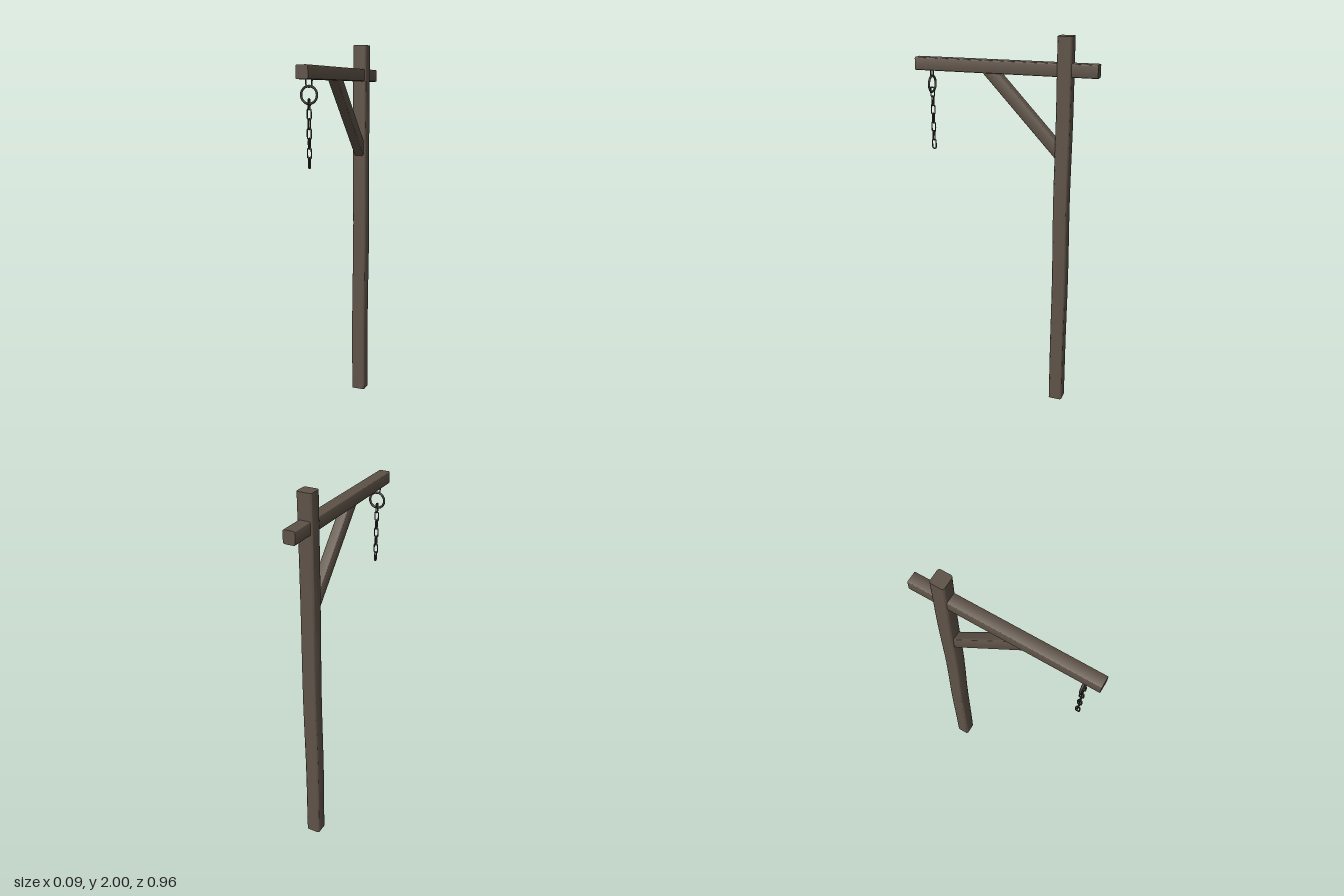
import * as THREE from 'three';
import { toCreasedNormals } from 'three/addons/utils/BufferGeometryUtils.js';

const wood = new THREE.MeshStandardMaterial({ name: 'weathered wood', color: 0x5f5348 });
const iron = new THREE.MeshStandardMaterial({ name: 'dark iron', color: 0x3b3836 });

// Rounded timber, running along +z from the origin
function timberGeometry(width, height, length, radius, steps = 1) {
  const x = width / 2, y = height / 2, r = radius;
  const s = new THREE.Shape();
  s.moveTo(-x + r, -y);
  s.lineTo(x - r, -y);
  s.absarc(x - r, -y + r, r, -Math.PI / 2, 0);
  s.lineTo(x, y - r);
  s.absarc(x - r, y - r, r, 0, Math.PI / 2);
  s.lineTo(-x + r, y);
  s.absarc(-x + r, y - r, r, Math.PI / 2, Math.PI);
  s.lineTo(-x, -y + r);
  s.absarc(-x + r, -y + r, r, Math.PI, Math.PI * 1.5);
  return new THREE.ExtrudeGeometry(s, { depth: length, steps, bevelEnabled: false, curveSegments: 3 });
}

// Torus pulled apart vertically into an oval link
function linkGeometry(radius, tube, straight) {
  const g = new THREE.TorusGeometry(radius, tube, 6, 16);
  const p = g.attributes.position;
  for (let i = 0; i < p.count; i++) {
    const y = p.getY(i);
    if (Math.abs(y) > 1e-5) p.setY(i, y + Math.sign(y) * straight);
  }
  g.computeVertexNormals();
  return g;
}

export function createModel() {
  const group = new THREE.Group();
  const add = (name, geometry, material, x = 0, y = 0, z = 0) => {
    const mesh = new THREE.Mesh(geometry, material);
    mesh.name = name;
    mesh.position.set(x, y, z);
    group.add(mesh);
    return mesh;
  };

  // Upright post with a slight hand-hewn waviness, straight at both ends
  const post = timberGeometry(0.078, 0.074, 2, 0.012, 16);
  post.rotateX(-Math.PI / 2);
  const p = post.attributes.position;
  for (let i = 0; i < p.count; i++) {
    const t = p.getY(i) / 2;
    const fade = Math.sin(Math.PI * t);
    p.setX(i, p.getX(i) + 0.003 * fade * Math.sin(t * 9 + 3.1));
    p.setZ(i, p.getZ(i) + 0.002 * fade * Math.sin(t * 13));
  }
  add('post', toCreasedNormals(post, 0.7), wood, 0, 0, -0.313);

  // Horizontal beam passing through the post
  add('beam', toCreasedNormals(timberGeometry(0.062, 0.066, 0.96, 0.008), 0.7), wood, 0, 1.839, -0.48);

  // Diagonal brace, its ends buried in the post and beam
  const low = new THREE.Vector3(0, 1.445, -0.275);
  const high = new THREE.Vector3(0, 1.808, 0.067);
  const along = high.clone().sub(low).normalize();
  low.addScaledVector(along, -0.045);
  high.addScaledVector(along, 0.045);
  const brace = add('brace', toCreasedNormals(timberGeometry(0.054, 0.066, low.distanceTo(high), 0.009), 0.7), wood);
  brace.position.copy(low);
  brace.lookAt(high);

  // Staple and hanging ring
  add('staple', linkGeometry(0.016, 0.004, 0.015), iron, 0, 1.802, 0.4);
  add('ring', new THREE.TorusGeometry(0.041, 0.006, 8, 24), iron, 0, 1.735, 0.4);

  // Chain of links turned alternately
  const link = linkGeometry(0.0105, 0.0037, 0.015);
  for (let i = 0; i < 7; i++) {
    const mesh = add('chainLink', link, iron, 0, 1.692 - i * 0.046, 0.4);
    mesh.rotation.y = i % 2 ? 0 : Math.PI / 2;
  }
  return group;
}
